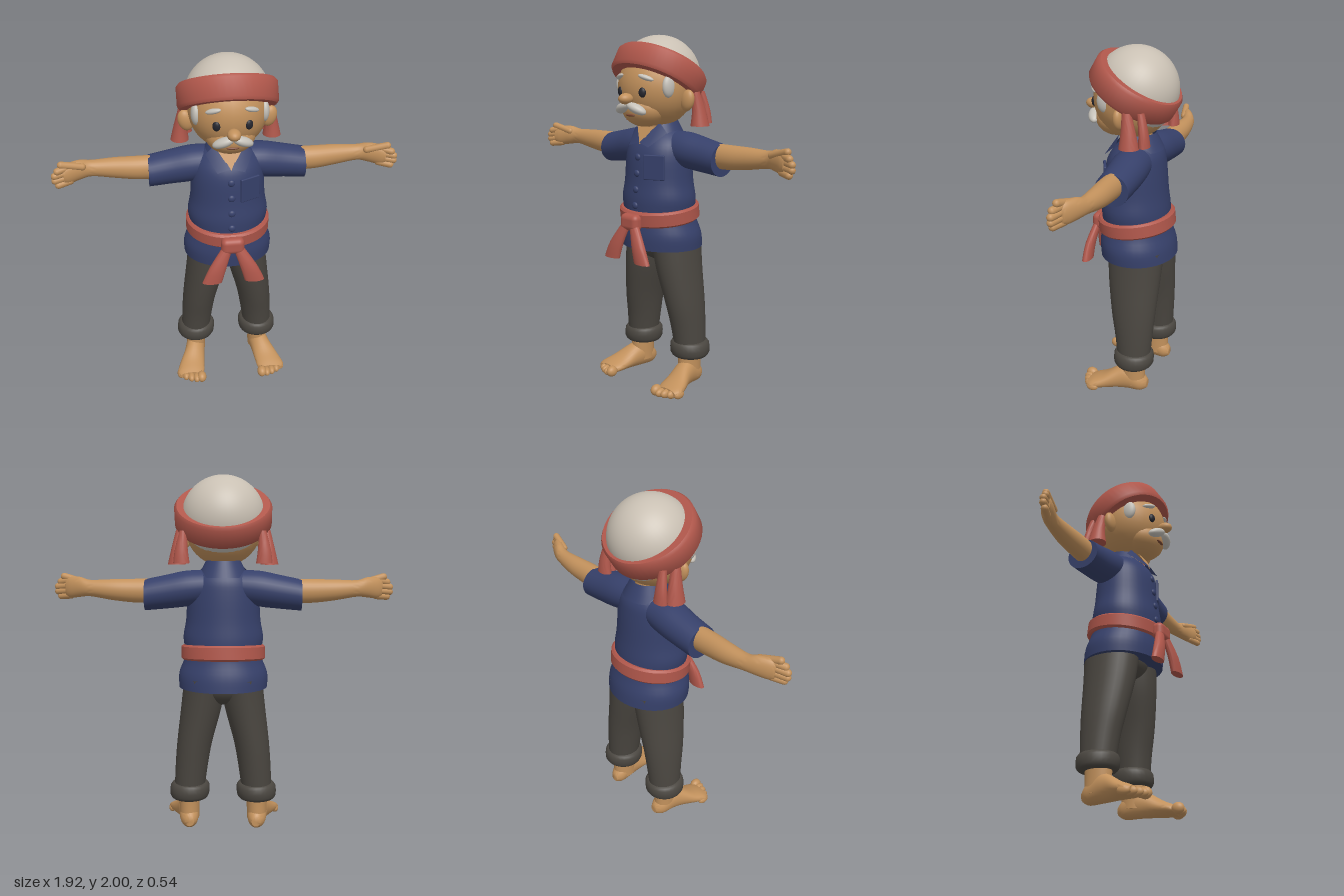
import * as THREE from 'three';
import { toCreasedNormals } from 'three/addons/utils/BufferGeometryUtils.js';
import { RoundedBoxGeometry } from 'three/addons/geometries/RoundedBoxGeometry.js';

const mat = (name, color, side = THREE.FrontSide) =>
  Object.assign(new THREE.MeshStandardMaterial({ color, side }), { name });

// Closed skin over elliptical sections along axis k (0 x, 1 y, 2 z), ascending.
// Section: [position, centreU, centreV, radiusU, radiusV], u and v the next two axes in x, y, z order.
function loft(k, sections, steps = 4, n = 28) {
  const rows = [];
  const at = i => sections[Math.min(Math.max(i, 0), sections.length - 1)];
  for (let i = 0; i < sections.length - 1; i++) {
    for (let s = 0; s < steps; s++) {
      const t = s / steps;
      rows.push(at(i).map((b, j) => {
        const a = at(i - 1)[j], c = at(i + 1)[j], d = at(i + 2)[j];
        return b + 0.5 * t * (c - a + t * (2 * a - 5 * b + 4 * c - d + t * (3 * (b - c) + d - a)));
      }));
    }
  }
  rows.push(at(sections.length - 1));
  const pos = [], idx = [];
  const put = (p, u, v) => {
    const q = [0, 0, 0];
    q[k] = p; q[(k + 1) % 3] = u; q[(k + 2) % 3] = v;
    pos.push(...q);
  };
  for (const [p, u, v, a, b] of rows)
    for (let j = 0; j < n; j++) {
      const w = j / n * Math.PI * 2;
      put(p, u + a * Math.cos(w), v + b * Math.sin(w));
    }
  const last = (rows.length - 1) * n, end = rows.length * n;
  put(rows[0][0], rows[0][1], rows[0][2]);
  put(...rows[rows.length - 1].slice(0, 3));
  for (let j = 0; j < n; j++) {
    const m = (j + 1) % n;
    for (let r = 0; r < last; r += n) idx.push(r + j, r + m, r + n + j, r + m, r + n + m, r + n + j);
    idx.push(end, m, j, end + 1, last + j, last + m);
  }
  const g = new THREE.BufferGeometry();
  g.setAttribute('position', new THREE.Float32BufferAttribute(pos, 3));
  g.setIndex(idx);
  return toCreasedNormals(g, 0.9);
}

const ball = (x, y, z, rx, ry, rz, turnZ = 0, turnY = 0) =>
  new THREE.SphereGeometry(1, 28, 20).scale(rx, ry, rz).rotateZ(turnZ).rotateY(turnY).translate(x, y, z);

function finger(from, to, r) {
  const a = new THREE.Vector3(...from), b = new THREE.Vector3(...to), d = b.clone().sub(a);
  const q = new THREE.Quaternion().setFromUnitVectors(new THREE.Vector3(0, 1, 0), d.clone().normalize());
  const c = a.add(b).multiplyScalar(0.5);
  return new THREE.CapsuleGeometry(r, d.length(), 6, 12).applyQuaternion(q).translate(c.x, c.y, c.z);
}

// Cloth ring with a rounded outer face
const ring = (inner, outer, half) => toCreasedNormals(new THREE.LatheGeometry(
  [[inner, -half], [outer - 0.012, -half], [outer, -half * 0.75], [outer, half * 0.75],
    [outer - 0.012, half], [inner, half]].map(p => new THREE.Vector2(...p)), 48), 0.7);

function sheet(points) {
  const g = new THREE.BufferGeometry();
  g.setAttribute('position', new THREE.Float32BufferAttribute(points.flat(), 3));
  g.setIndex(points.length === 4 ? [0, 1, 2, 0, 2, 3] : [0, 1, 2]);
  g.computeVertexNormals();
  return g;
}

// Reflection across x = 0 with the corner order restored
function mirrored(geo) {
  const g = geo.index ? geo.toNonIndexed() : geo.clone();
  g.scale(-1, 1, 1);
  for (const key of ['position', 'normal']) {
    const a = g.attributes[key];
    for (let i = 0; i < a.count; i += 3) {
      const b = [a.getX(i + 1), a.getY(i + 1), a.getZ(i + 1)];
      a.setXYZ(i + 1, a.getX(i + 2), a.getY(i + 2), a.getZ(i + 2));
      a.setXYZ(i + 2, ...b);
    }
  }
  return g;
}

export function createModel() {
  const root = new THREE.Group();
  root.name = 'villager';
  const skin = mat('skin', 0xc2915c), navy = mat('navy cloth', 0x36406a, THREE.DoubleSide);
  const red = mat('red cloth', 0xb0574b), cap = mat('pale cap', 0xc9c0b3), hair = mat('grey hair', 0xc4c0b8);
  const trouser = mat('charcoal cloth', 0x4a4640), dark = mat('eye dark', 0x25262e);
  const mouth = mat('mouth brown', 0x7d4c36);
  const add = (name, geo, material) => {
    const m = new THREE.Mesh(geo, material);
    m.name = name;
    root.add(m);
  };
  const pair = (name, geo, material) => {
    add(name + 'Left', geo, material);
    add(name + 'Right', mirrored(geo), material);
  };

  // Head and face
  add('head', ball(0, 1.72, 0, 0.215, 0.22, 0.215), skin);
  add('jaw', ball(0, 1.605, 0.09, 0.135, 0.1, 0.12), skin);
  add('nose', ball(0, 1.665, 0.235, 0.036, 0.03, 0.045), skin);
  add('mouth', ball(0, 1.575, 0.2, 0.035, 0.008, 0.012), mouth);
  add('neck', loft(1, [[1.42, -0.03, 0, 0.085, 0.085], [1.6, -0.02, 0, 0.08, 0.08]], 1), skin);
  pair('ear', ball(0.225, 1.655, -0.01, 0.042, 0.06, 0.03, -0.25), skin);
  pair('eye', ball(0.085, 1.7, 0.193, 0.021, 0.027, 0.014, 0, 0.4), dark);
  pair('eyebrow', ball(0.1, 1.778, 0.182, 0.045, 0.014, 0.018, -0.3, 0.5), hair);
  pair('moustache', ball(0.052, 1.613, 0.208, 0.062, 0.026, 0.034, -0.4, 0.35), hair);
  pair('sideburn', ball(0.18, 1.73, 0.09, 0.026, 0.06, 0.042), hair);
  add('backHair', ball(0, 1.72, -0.05, 0.203, 0.175, 0.19), hair);

  // Cap and tilted headband with hanging ends
  add('cap', new THREE.SphereGeometry(0.232, 40, 20, 0, Math.PI * 2, 0, Math.PI / 2)
    .rotateX(-0.54).translate(0, 1.77, -0.02), cap);
  add('headband', ring(0.19, 0.255, 0.066).scale(1.06, 1, 1).rotateX(-0.54).translate(0, 1.785, -0.017), red);
  pair('headbandEnd', loft(1, [[1.515, -0.08, 0.255, 0.055, 0.05], [1.6, -0.075, 0.25, 0.04, 0.035],
    [1.7, -0.06, 0.235, 0.025, 0.025]], 3), red);
  pair('headbandBackEnd', loft(1, [[1.525, -0.155, 0.225, 0.03, 0.045], [1.6, -0.15, 0.225, 0.025, 0.035],
    [1.7, -0.13, 0.215, 0.02, 0.02]], 3), red);

  // Shirt
  add('shirt', loft(1, [[0.82, -0.042, 0, 0.215, 0.25], [0.9, -0.035, 0, 0.212, 0.25],
    [1, -0.025, 0, 0.192, 0.215], [1.1, -0.02, 0, 0.19, 0.226], [1.2, -0.02, 0, 0.178, 0.21],
    [1.35, -0.02, 0, 0.165, 0.2], [1.43, -0.03, 0, 0.14, 0.175], [1.5, -0.04, 0, 0.085, 0.1]], 4, 40), navy);
  pair('sleeve', loft(0, [[0.08, 1.39, -0.05, 0.09, 0.1], [0.2, 1.378, -0.055, 0.1, 0.105],
    [0.32, 1.36, -0.06, 0.094, 0.098], [0.435, 1.343, -0.06, 0.087, 0.094]], 4), navy);
  add('openNeck', sheet([[-0.065, 1.505, 0.085], [0, 1.41, 0.135], [0.065, 1.505, 0.085]]), skin);
  add('collar', new THREE.CylinderGeometry(0.095, 0.14, 0.09, 32, 2, true, 0.75, Math.PI * 2 - 1.5)
    .translate(0, 1.49, -0.035), navy);
  pair('collarFlap', sheet([[0.075, 1.53, 0.05], [0.003, 1.42, 0.138], [0.075, 1.4, 0.142],
    [0.13, 1.475, 0.05]]), navy);
  [[1.07, 0.17], [1.16, 0.164], [1.25, 0.155], [1.34, 0.147]].forEach(([y, z], i) =>
    add('button' + i, ball(0, y, z, 0.02, 0.02, 0.012), navy));
  add('pocket', new RoundedBoxGeometry(0.12, 0.14, 0.016, 2, 0.006)
    .rotateY(0.45).translate(0.105, 1.29, 0.126), navy);

  // Waist sash, knot and tails
  add('sash', ring(0.19, 0.238, 0.043).scale(1, 1, 0.91).rotateX(0.11).translate(0, 1.015, -0.025), red);
  add('sashKnot', new RoundedBoxGeometry(0.13, 0.095, 0.07, 4, 0.03).translate(0, 0.98, 0.2), red);
  pair('sashTail', loft(1, [[0.765, 0.236, 0.12, 0.026, 0.056], [0.86, 0.23, 0.085, 0.026, 0.048],
    [0.98, 0.205, 0.025, 0.02, 0.028]], 3), red);

  // Trousers with rolled cuffs
  add('trouserSeat', ball(0, 0.84, -0.06, 0.19, 0.12, 0.155), trouser);
  pair('trouserLeg', loft(1, [[0.2, -0.085, 0.195, 0.095, 0.085], [0.35, -0.08, 0.182, 0.11, 0.092],
    [0.5, -0.07, 0.163, 0.13, 0.1], [0.7, -0.06, 0.125, 0.152, 0.115], [0.88, -0.06, 0.1, 0.165, 0.12]]), trouser);
  pair('cuff', loft(1, [[0.175, -0.085, 0.193, 0.1, 0.1], [0.195, -0.085, 0.193, 0.116, 0.112],
    [0.245, -0.085, 0.19, 0.116, 0.112], [0.265, -0.085, 0.188, 0.1, 0.096]], 2), trouser);

  // Arms and hands
  pair('arm', loft(0, [[0.38, 1.365, -0.06, 0.068, 0.058], [0.5, 1.366, -0.06, 0.066, 0.058],
    [0.62, 1.372, -0.065, 0.058, 0.052], [0.74, 1.38, -0.06, 0.046, 0.04], [0.8, 1.385, -0.042, 0.056, 0.04],
    [0.86, 1.38, -0.015, 0.06, 0.036], [0.89, 1.378, 0, 0.048, 0.028]]), skin);
  for (let i = 0; i < 4; i++)
    pair('finger' + i, finger([0.86, 1.335 + i * 0.028, -0.01],
      [0.922 + (i % 3 ? 0.016 : 0), 1.328 + i * 0.027, 0.018], 0.02), skin);
  pair('thumb', finger([0.79, 1.41, -0.02], [0.9, 1.44, 0.005], 0.02), skin);

  // Bare feet
  pair('ankle', loft(1, [[0.05, -0.08, 0.195, 0.075, 0.056], [0.14, -0.078, 0.195, 0.075, 0.058],
    [0.24, -0.08, 0.195, 0.075, 0.062]]), skin);
  pair('foot', loft(2, [[-0.168, 0.19, 0.05, 0.025, 0.028], [-0.13, 0.194, 0.06, 0.05, 0.058],
    [-0.06, 0.2, 0.08, 0.058, 0.078], [0, 0.212, 0.072, 0.062, 0.07], [0.08, 0.235, 0.048, 0.076, 0.046],
    [0.14, 0.248, 0.035, 0.082, 0.033], [0.17, 0.25, 0.03, 0.066, 0.024]]), skin);
  for (let i = 0; i < 5; i++) {
    const r = i ? 0.021 : 0.028;
    pair('toe' + i, ball(0.187 + i * 0.031, r + 0.004, 0.19 - i * i * 0.0035, r, r + 0.004, 0.036), skin);
  }
  return root;
}
